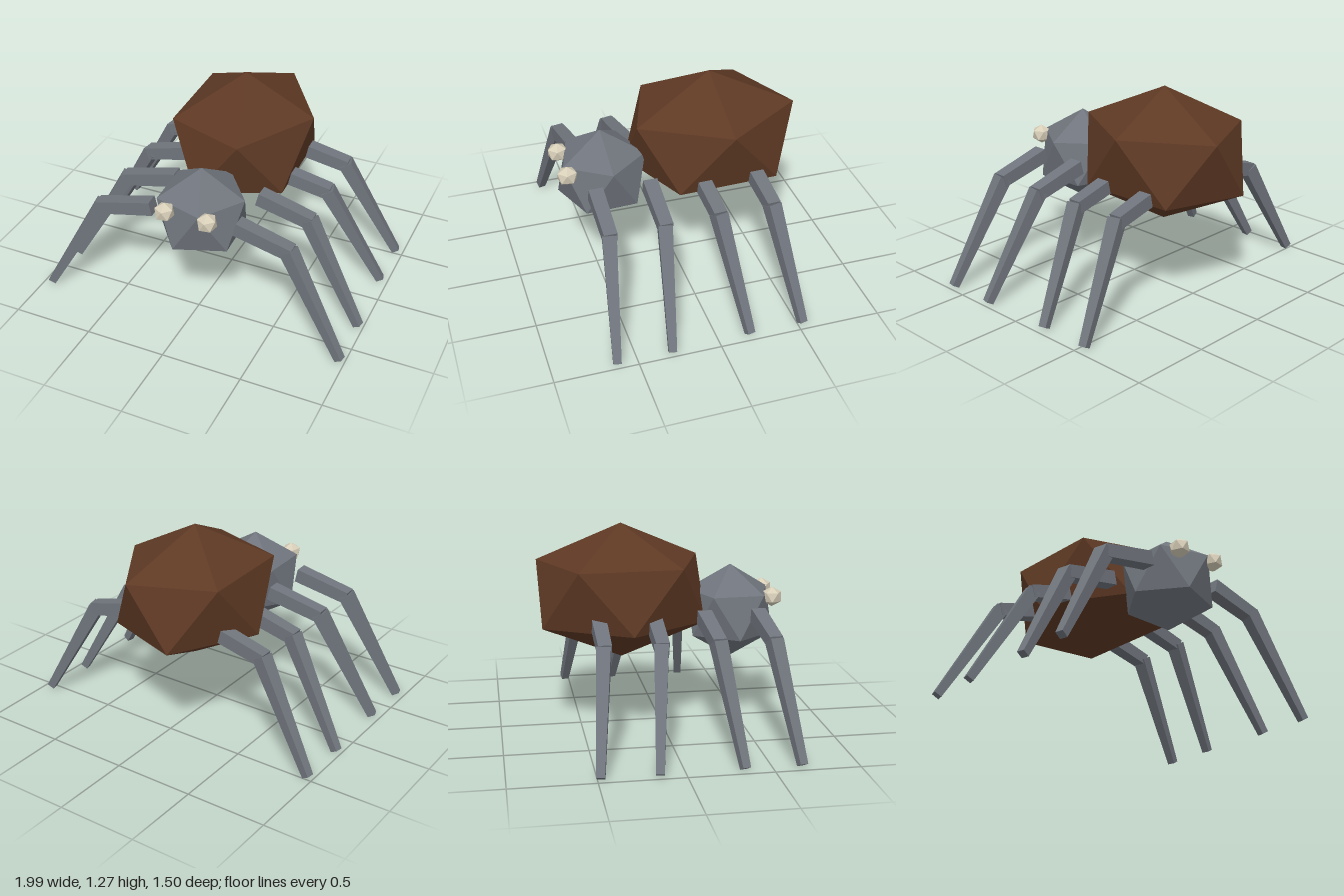
import * as THREE from 'three';

const mat = (name, color, side = THREE.FrontSide) => {
  const m = new THREE.MeshStandardMaterial({ color, flatShading: true, side });
  m.name = name;
  return m;
};

// Twenty-sided gem standing on a corner: apex, two staggered rings of five, nadir
function gem(rx, h, rz, turn = -2.5) {
  const ring = (y, start) => Array.from({ length: 6 }, (_, k) => {
    const a = THREE.MathUtils.degToRad(start + turn + 72 * k);
    return [rx * Math.cos(a), y, rz * Math.sin(a)];
  });
  const U = ring(h * 0.447, 0), L = ring(-h * 0.447, 36);
  const top = [0, h, 0], bottom = [0, -h, 0], pos = [];
  const tri = (...p) => p.forEach((v) => pos.push(...v));
  for (let k = 0; k < 5; k++) {
    tri(top, U[k + 1], U[k]);
    tri(U[k + 1], L[k], U[k]);
    tri(U[k + 1], L[k + 1], L[k]);
    tri(bottom, L[k], L[k + 1]);
  }
  const g = new THREE.BufferGeometry();
  g.setAttribute('position', new THREE.Float32BufferAttribute(pos, 3));
  g.computeVertexNormals();
  return g;
}

// Tapered square bar of width w0 at p to w1 at q
function bar(p, q, w0, w1) {
  const a = new THREE.Vector3(...p), b = new THREE.Vector3(...q);
  const d = b.clone().sub(a), len = d.length();
  d.normalize();
  const side = new THREE.Vector3(0, 1, 0).cross(d).normalize();
  const g = new THREE.CylinderGeometry(w1 * Math.SQRT1_2, w0 * Math.SQRT1_2, len, 4);
  g.rotateY(Math.PI / 4);
  g.applyMatrix4(new THREE.Matrix4().makeBasis(side, d, side.clone().cross(d)));
  const c = a.add(b).multiplyScalar(0.5);
  return g.translate(c.x, c.y, c.z);
}

export function createModel() {
  const model = new THREE.Group();
  model.name = 'spider';
  const grey = mat('grey', 0x70757d), brown = mat('brown', 0x5e3924), cream = mat('cream', 0xd8cfb9);
  const add = (parent, name, geometry, material, x = 0, y = 0, z = 0) => {
    const m = new THREE.Mesh(geometry, material);
    m.name = name;
    m.position.set(x, y, z);
    parent.add(m);
  };

  // Body
  add(model, 'abdomen', gem(0.44, 0.42, 0.53), brown, -0.01, 0.85, -0.24);
  add(model, 'head', gem(0.27, 0.297, 0.27), grey, 0.01, 0.692, 0.45);

  // Eyes and fangs
  for (const [side, x] of [['left', 0.155], ['right', -0.115]]) {
    add(model, side + 'Eye', gem(0.056, 0.062, 0.06, 10), cream, x, 0.8, 0.69);
    const fx = side === 'left' ? 0.125 : -0.085;
    add(model, side + 'Fang', bar([fx, 0.54, 0.687], [fx, 0.76, 0.687], 0.108, 0.03), cream);
  }

  // Two leg shapes: z of hip, knee and tip relative to the leg's row
  const shapeA = { hip: [0.255, 0.722, -0.02], end: [0.61, 0.643, 0], knee: [0.595, 0.655, -0.005], tip: [0.95, 0.013, 0.083] };
  const shapeB = { hip: [0.28, 0.725, 0], end: [0.62, 0.637, 0], knee: [0.6, 0.65, 0.003], tip: [0.968, 0.013, 0.07] };
  // [name, side, row z, direction of sweep, shape]
  const legs = [
    ['rightLeg1', -1, 0.587, 1, shapeA], ['rightLeg2', -1, 0.255, 1, shapeA],
    ['leftLeg1', 1, 0.552, 1, shapeB], ['leftLeg2', 1, 0.22, 1, shapeB],
    ['rightLeg3', -1, -0.08, -1, shapeB], ['rightLeg4', -1, -0.412, -1, shapeB],
    ['leftLeg3', 1, -0.112, -1, shapeA], ['leftLeg4', 1, -0.445, -1, shapeA],
  ];
  for (const [name, side, row, sweep, s] of legs) {
    const at = ([x, y, z]) => [x * side, y, row + z * sweep];
    const leg = new THREE.Group();
    leg.name = name;
    add(leg, 'upperLeg', bar(at(s.hip), at(s.end), 0.088, 0.08), grey);
    add(leg, 'lowerLeg', bar(at(s.knee), at(s.tip), 0.084, 0.048), grey);
    model.add(leg);
  }
  return model;
}
